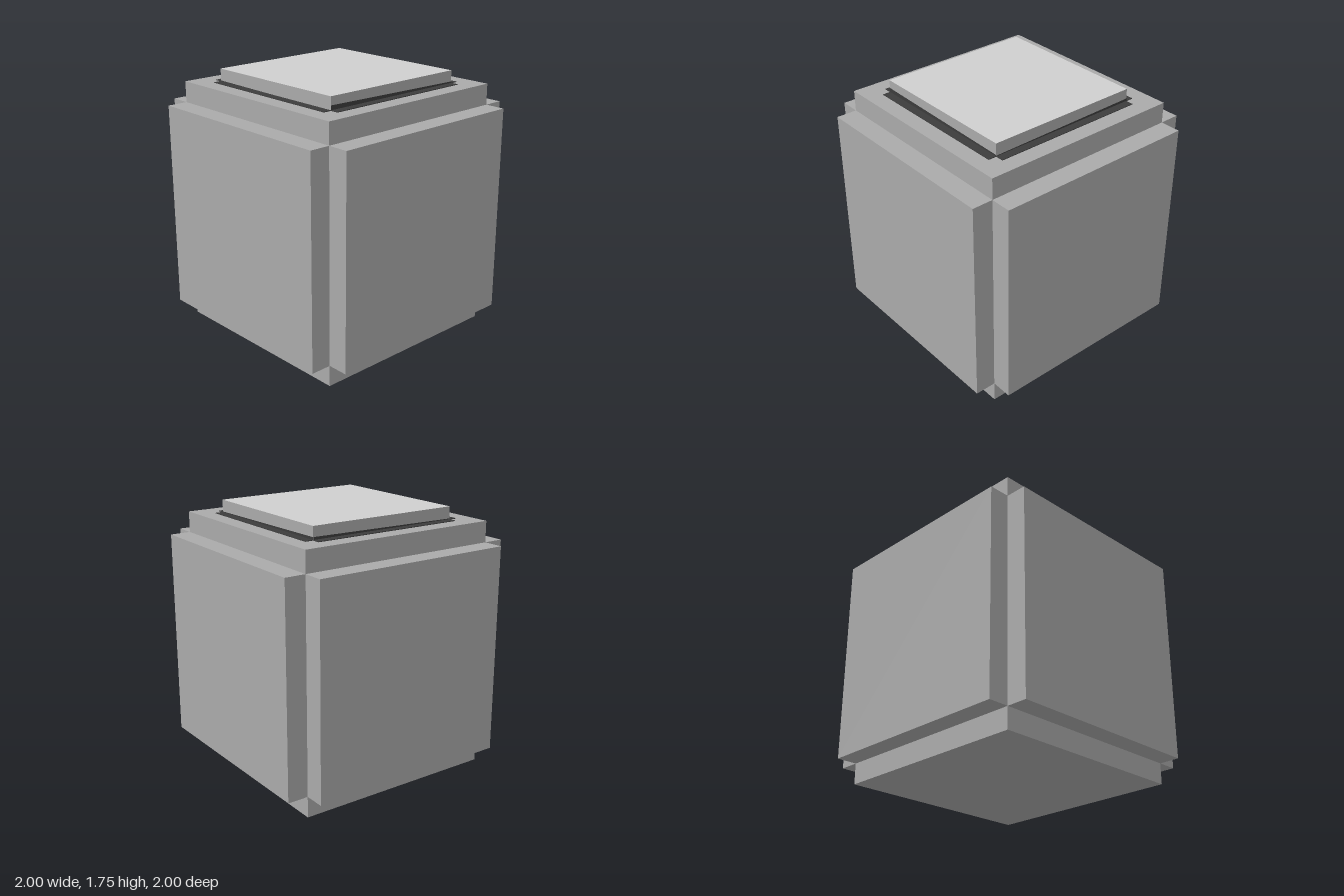
import * as THREE from 'three';

const LONG = 1.667; // long side of each crossing block
const SHORT = 1.388; // short side of each crossing block
const PLATE = 1.056; // side of the raised square
const TOP = 1.753;

const mat = (name, color) => {
  const m = new THREE.MeshStandardMaterial({ color });
  m.name = name;
  return m;
};

export function createModel() {
  const bodyGrey = mat('bodyGrey', 0xaaaaaa);
  const lightGrey = mat('lightGrey', 0xcfcfcf);
  const darkGrey = mat('darkGrey', 0x3c3c3c);
  darkGrey.side = THREE.DoubleSide;

  const model = new THREE.Group();
  model.name = 'buttonCube';
  const cube = new THREE.Group();
  cube.name = 'turnedCube';
  cube.rotation.y = THREE.MathUtils.degToRad(17.3);
  model.add(cube);

  const addBox = (name, w, h, d, y, material) => {
    const mesh = new THREE.Mesh(new THREE.BoxGeometry(w, h, d), material);
    mesh.name = name;
    mesh.position.y = y;
    cube.add(mesh);
    return mesh;
  };

  // Three crossing blocks form a cube with stepped edges
  addBox('uprightBlock', SHORT, LONG, SHORT, LONG / 2, bodyGrey);
  addBox('sidewaysBlock', LONG, SHORT, SHORT, LONG / 2, bodyGrey);
  addBox('lengthwiseBlock', SHORT, SHORT, LONG, LONG / 2, bodyGrey);

  // Raised square with a lighter top face
  const height = TOP - LONG;
  addBox('raisedPlate', PLATE, height, PLATE, LONG + height / 2,
    [bodyGrey, bodyGrey, lightGrey, bodyGrey, bodyGrey, bodyGrey]);

  // Dark border: a flat strip and a tapering band on each side of the square
  const half = PLATE / 2;
  const bands = [[0.033, 0.013], [0.008, 0.021], [0.021, 0.008], [0.008, 0.001]];
  bands.forEach(([left, right], i) => {
    const side = new THREE.Group();
    side.name = `border${i + 1}`;
    side.rotation.y = i * Math.PI / 2;

    const strip = new THREE.Mesh(new THREE.BoxGeometry(PLATE, 0.004, 0.056), darkGrey);
    strip.name = 'borderStrip';
    strip.position.set(0, LONG + 0.002, half + 0.027);
    side.add(strip);

    const shape = new THREE.Shape([
      new THREE.Vector2(-half, 0), new THREE.Vector2(half, 0),
      new THREE.Vector2(half, right), new THREE.Vector2(-half, left),
    ]);
    const band = new THREE.Mesh(new THREE.ShapeGeometry(shape), darkGrey);
    band.name = 'borderBand';
    band.position.set(0, LONG, half + 0.002);
    side.add(band);
    cube.add(side);
  });

  return model;
}
